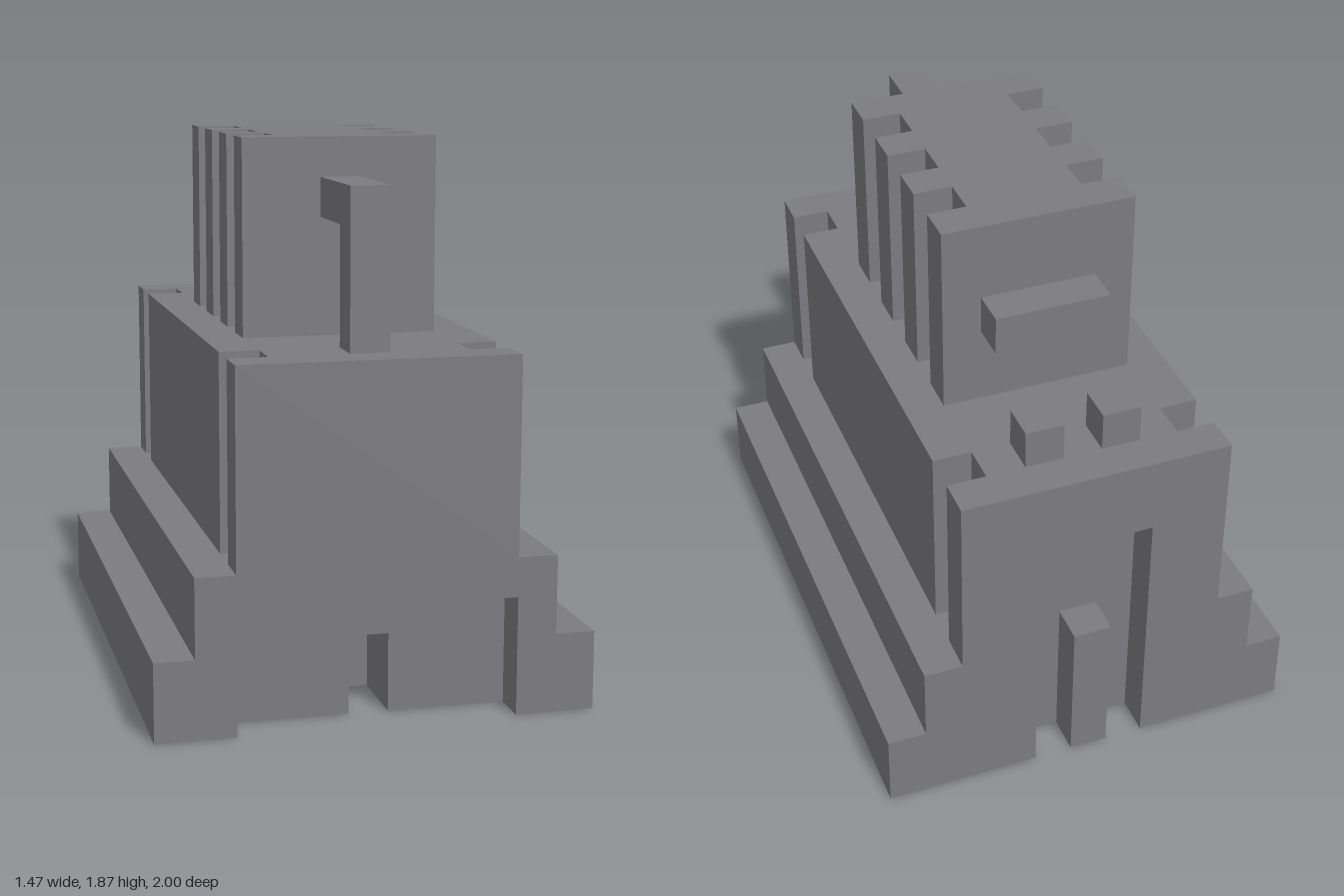
import * as THREE from 'three';

// Everything sits on a grid of 15 cells along the length
const U = 2 / 15;

export function createModel() {
  const group = new THREE.Group();
  const grey = new THREE.MeshStandardMaterial({ color: 0x7b7b80 });
  grey.name = 'grey';

  const add = (name, geometry) => {
    const mesh = new THREE.Mesh(geometry, grey);
    mesh.name = name;
    group.add(mesh);
  };

  // Box given by its limits in cells
  const box = (name, x0, x1, y0, y1, z0, z1) => {
    const g = new THREE.BoxGeometry((x1 - x0) * U, (y1 - y0) * U, (z1 - z0) * U);
    g.translate((x0 + x1) / 2 * U, (y0 + y1) / 2 * U, (z0 + z1) / 2 * U);
    add(name, g);
  };

  // Extrude the closed outline made of a right half and its mirror image
  const extrudeMirrored = (half, depth) => {
    const left = half.map(([x, y]) => [-x, y]).reverse();
    const points = [...half, ...left].map(([x, y]) => new THREE.Vector2(x * U, y * U));
    return new THREE.ExtrudeGeometry(new THREE.Shape(points), { depth: depth * U, bevelEnabled: false });
  };

  // Stepped hull, cut crosswise: half width of the upper body, opening at the floor
  const slice = (name, z0, z1, bodyHalf, opening = []) => {
    const half = [...opening, [5.5, 0], [5.5, 2], [4.5, 2], [4.5, 4], [bodyHalf, 4], [bodyHalf, 9]];
    const g = extrudeMirrored(half, z1 - z0);
    g.translate(0, 0, z0 * U);
    add(name, g);
  };
  const niche = [[1.5, 7], [1.5, 0]];
  const recess = [[3.5, 3], [3.5, 0]];
  const slot = [[0.5, 2], [0.5, 0]];
  slice('backWall', -7.5, -6.5, 3.5, niche);
  slice('backGroove', -6.5, -5.5, 2.5);
  slice('mainBody', -5.5, 4.5, 3.5);
  slice('slottedBody', 4.5, 5.5, 3.5, slot);
  slice('frontGroove', 5.5, 6.5, 2.5, slot);
  slice('frontWall', 6.5, 7.5, 3.5, recess);

  // Post standing in the back niche
  box('nichePost', -0.5, 0.5, 0, 4, -7.5, -6.5);

  // Ribbed tower: plan outline with three notches per side
  const plan = [];
  for (let i = 0; i < 7; i++) {
    const x = i % 2 ? 1.5 : 2.5;
    plan.push([x, i - 3.5], [x, i - 2.5]);
  }
  const tower = extrudeMirrored(plan, 5);
  tower.rotateX(-Math.PI / 2);
  tower.translate(0, 9 * U, 0);
  add('ribbedTower', tower);

  // Bent pipe at the front
  box('pipeUpright', -0.5, 0.5, 9, 13, 5.5, 6.5);
  box('pipeArm', -0.5, 0.5, 12, 13, 3.5, 5.5);

  // Bar and two pegs at the back
  box('backBar', -1.5, 1.5, 11, 12, -4.5, -3.5);
  box('leftPeg', 0.5, 1.5, 9, 10, -6.5, -5.5);
  box('rightPeg', -1.5, -0.5, 9, 10, -6.5, -5.5);

  return group;
}
